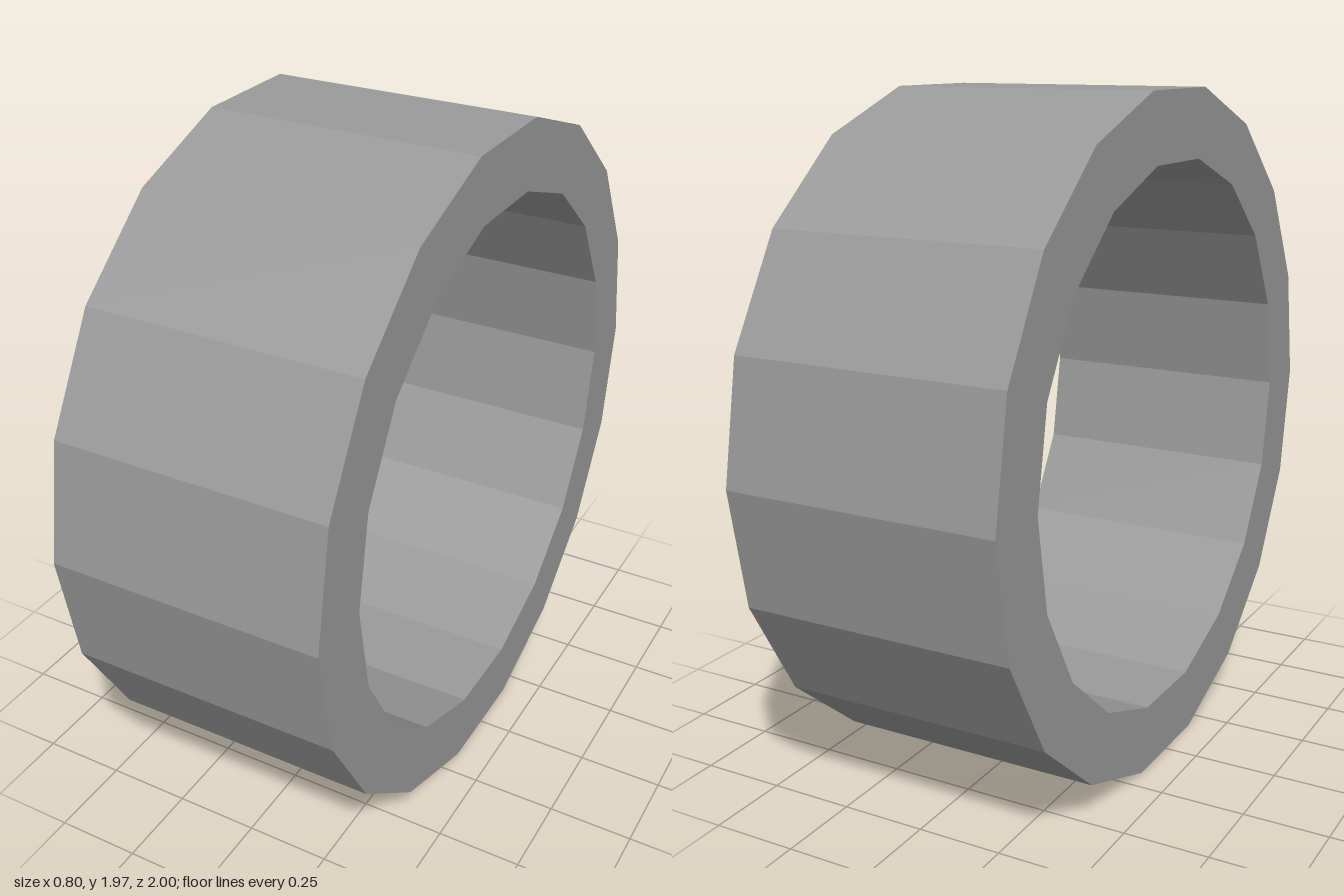
import * as THREE from 'three';

const SIDES = 18;
const OUTER = 1;
const INNER = 0.8;
const WIDTH = 0.8;

// Corners of a regular polygon, first corner on the horizontal axis
function polygon(radius) {
  return Array.from({ length: SIDES }, (_, i) => {
    const a = (i / SIDES) * Math.PI * 2;
    return new THREE.Vector2(radius * Math.cos(a), radius * Math.sin(a));
  });
}

export function createModel() {
  const group = new THREE.Group();
  group.name = 'facetedRing';

  // Flat-sided band with a matching polygonal hole
  const profile = new THREE.Shape(polygon(OUTER));
  profile.holes.push(new THREE.Path(polygon(INNER)));
  const geometry = new THREE.ExtrudeGeometry(profile, { depth: WIDTH, bevelEnabled: false });

  // Lay the axis along x and rest the lowest flat on the ground
  geometry.translate(0, 0, -WIDTH / 2);
  geometry.rotateY(Math.PI / 2);
  geometry.translate(0, OUTER * Math.cos(Math.PI / SIDES), 0);

  const ring = new THREE.Mesh(
    geometry,
    new THREE.MeshStandardMaterial({ color: 0x9a9a9a, flatShading: true })
  );
  ring.name = 'ring';
  group.add(ring);
  return group;
}
